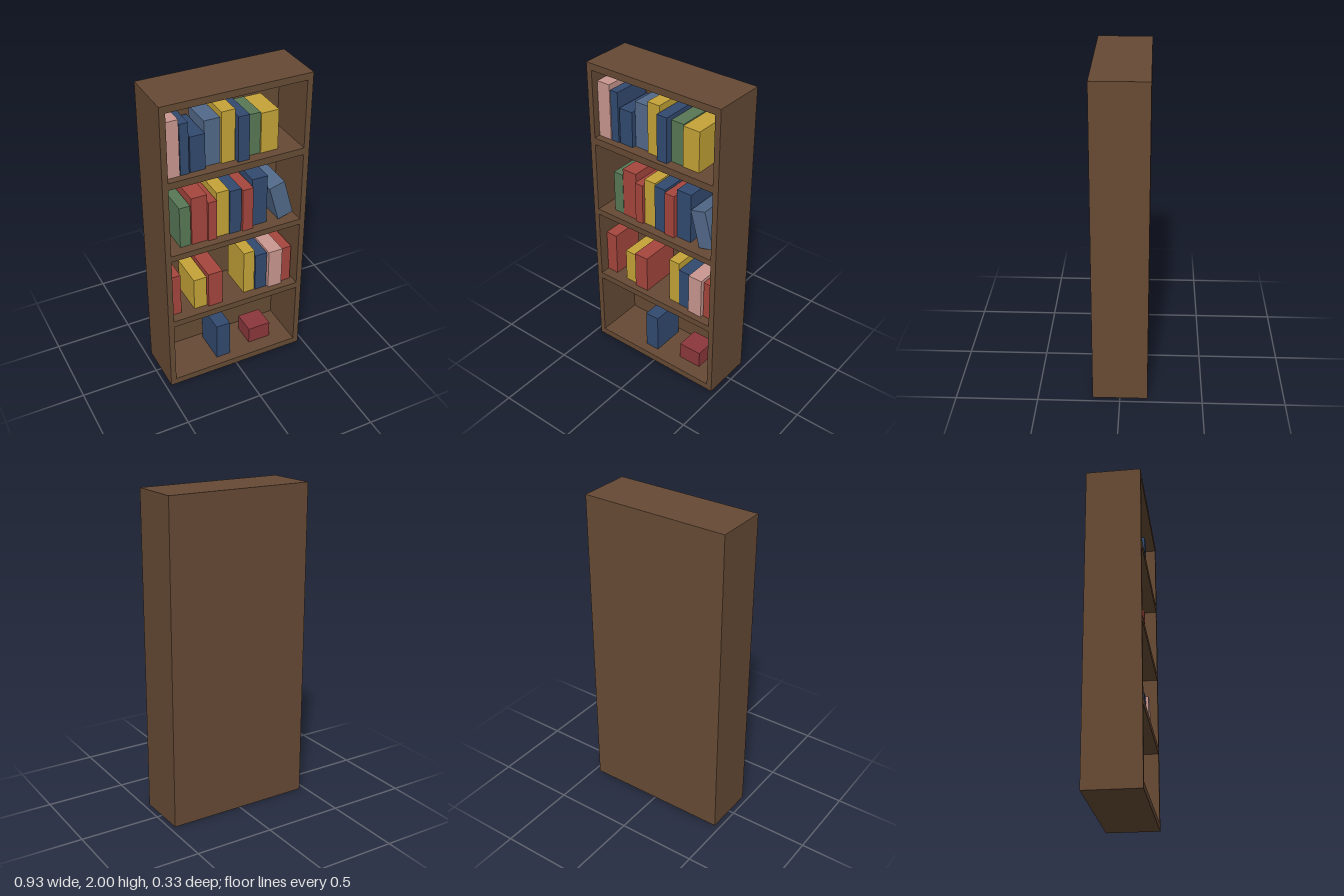
import * as THREE from 'three';

const mat = (name, color) => {
  const m = new THREE.MeshStandardMaterial({ color });
  m.name = name;
  return m;
};

export function createModel() {
  const wood = mat('brown wood', 0x664a34);
  const covers = {
    pink: mat('pink cover', 0xc99790),
    navy: mat('navy cover', 0x324a70),
    steel: mat('steel blue cover', 0x52698a),
    yellow: mat('yellow cover', 0xc4a338),
    green: mat('green cover', 0x587856),
    red: mat('red cover', 0xa5463d),
    maroon: mat('maroon box', 0x8c373c),
  };
  const group = new THREE.Group();
  group.name = 'bookcase';

  const add = (name, geometry, material, x, y, z, parent = group) => {
    const mesh = new THREE.Mesh(geometry, material);
    mesh.name = name;
    mesh.position.set(x, y, z);
    parent.add(mesh);
    return mesh;
  };

  // Case: two sides, five boards and a back panel
  const W = 0.465, D = 0.167, T = 0.036, B = 0.02;
  for (const s of [-1, 1])
    add(s < 0 ? 'rightSide' : 'leftSide', new THREE.BoxGeometry(T, 2, 2 * D), wood, s * (W - T / 2), 1, 0);
  const boards = [[0, 0.043], [0.481, 0.523], [0.982, 1.021], [1.479, 1.524], [1.957, 2]];
  boards.forEach(([y0, y1], i) =>
    add(i === 0 ? 'base' : i === 4 ? 'top' : 'shelf' + i,
      new THREE.BoxGeometry(2 * (W - T), y1 - y0, 2 * D), wood, 0, (y0 + y1) / 2, 0));
  // Back panel pieces fill the openings between the boards
  for (let i = 0; i < 4; i++) {
    const y0 = boards[i][1], y1 = boards[i + 1][0];
    add('backPanel' + (i + 1), new THREE.BoxGeometry(2 * (W - T), y1 - y0, B), wood, 0, (y0 + y1) / 2, -D + B / 2);
  }

  // Books per shelf, bottom up: colour, left x, right x, top y, front z
  const rows = [
    [['navy', -0.111, -0.016, 0.305, 0.106], ['maroon', 0.143, 0.297, 0.156, 0.071]],
    [['red', -0.428, -0.35, 0.813, 0.104], ['yellow', -0.265, -0.18, 0.744, 0.11],
      ['red', -0.175, -0.079, 0.771, 0.128], ['yellow', 0.079, 0.154, 0.829, 0.105],
      ['navy', 0.159, 0.238, 0.789, 0.11], ['pink', 0.244, 0.339, 0.797, 0.127],
      ['red', 0.344, 0.413, 0.781, 0.107]],
    [['green', -0.344, -0.275, 1.295, 0.107], ['red', -0.27, -0.169, 1.343, 0.11],
      ['red', -0.167, -0.111, 1.29, 0.121], ['yellow', -0.106, -0.026, 1.332, 0.106],
      ['navy', -0.024, 0.053, 1.322, 0.113], ['red', 0.058, 0.127, 1.311, 0.123],
      ['navy', 0.132, 0.233, 1.351, 0.099]],
    [['pink', -0.428, -0.339, 1.878, 0.124], ['navy', -0.334, -0.281, 1.846, 0.122],
      ['navy', -0.273, -0.18, 1.751, 0.118], ['steel', -0.175, -0.077, 1.814, 0.094],
      ['yellow', -0.074, 0.011, 1.851, 0.107], ['navy', 0.016, 0.087, 1.814, 0.138],
      ['green', 0.09, 0.175, 1.788, 0.1], ['yellow', 0.177, 0.289, 1.782, 0.106]],
  ];
  const midZ = -0.005;
  rows.forEach((row, i) => {
    const books = new THREE.Group();
    books.name = 'booksOnShelf' + (i + 1);
    group.add(books);
    const y0 = boards[i][1];
    for (const [color, x0, x1, y1, front] of row)
      add(color === 'maroon' ? 'smallBox' : color + 'Book',
        new THREE.BoxGeometry(x1 - x0, y1 - y0, 2 * (front - midZ)), covers[color],
        (x0 + x1) / 2, (y0 + y1) / 2, midZ, books);
  });

  // Book leaning on its neighbour
  add('leaningBook', new THREE.BoxGeometry(0.104, 0.245, 0.236), covers.steel, 0.324, 1.157, midZ)
    .rotation.z = 0.27;

  return group;
}
